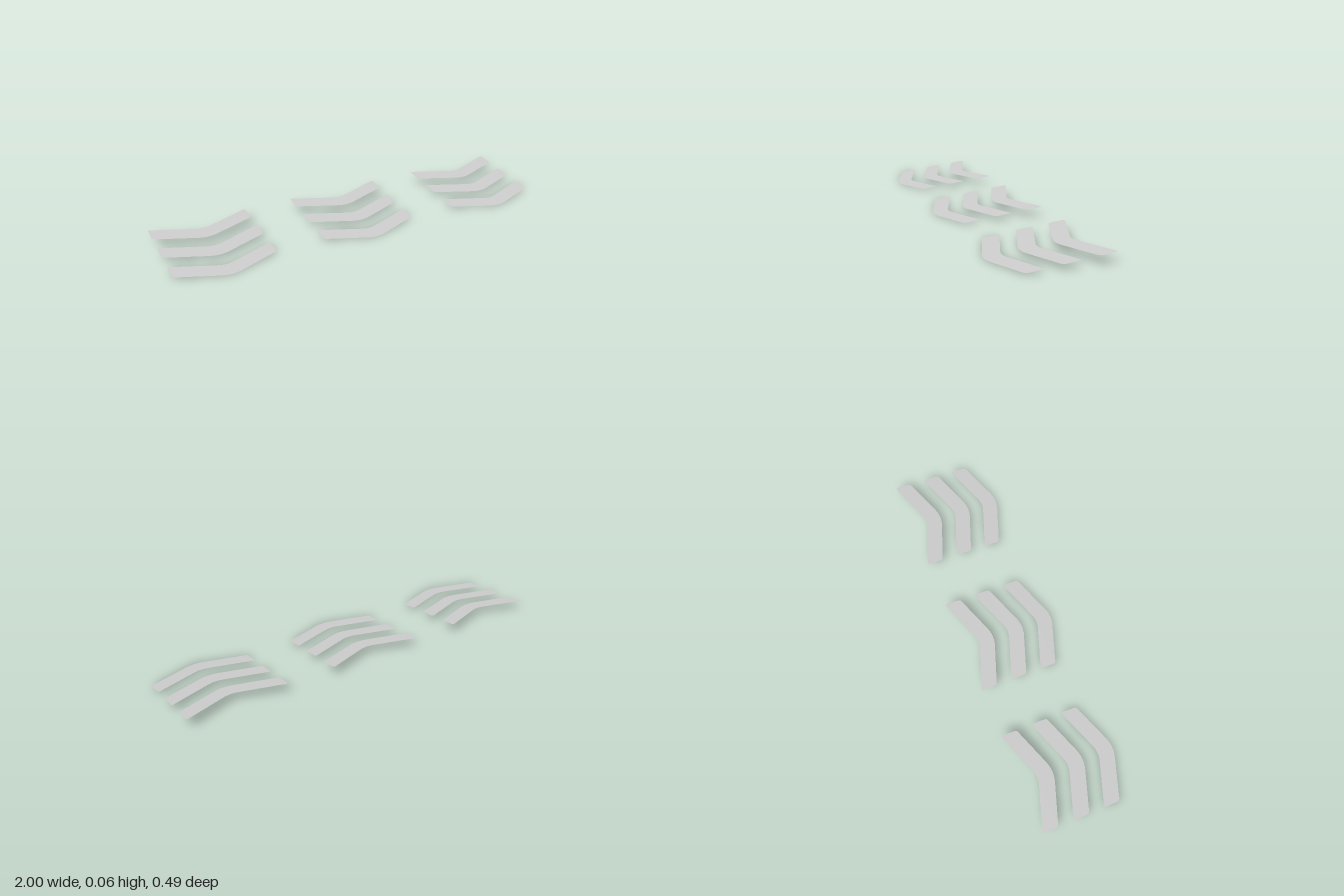
import * as THREE from 'three';

const SPACING_X = 0.75, SPACING_Z = 0.162;
const FRONT_Z = 0.242, SLOPE = 0.115; // the sheet rises towards the back

// Closed outline with each corner [x, z, cut] softened by a curve
function roundedOutline(corners) {
  const shape = new THREE.Shape();
  const pts = corners.map(([x, z]) => new THREE.Vector2(x, z));
  const n = pts.length;
  const towards = (a, b, d) => b.clone().sub(a).setLength(d).add(a);
  for (let i = 0; i < n; i++) {
    const p = pts[i], cut = corners[i][2];
    const a = towards(p, pts[(i + n - 1) % n], cut);
    const b = towards(p, pts[(i + 1) % n], cut);
    if (i === 0) shape.moveTo(a.x, a.y);
    else shape.lineTo(a.x, a.y);
    shape.quadraticCurveTo(p.x, p.y, b.x, b.y);
  }
  shape.closePath();
  return shape;
}

export function createModel() {
  const group = new THREE.Group();
  group.name = 'chevronStripes';
  const material = new THREE.MeshStandardMaterial({ color: 0xcccccc, side: THREE.DoubleSide });

  // Shape y runs to the back, so the rotated face points up
  const outline = roundedOutline([
    [0, -0.087, 0.055],
    [0.25, 0.004, 0.014],
    [0.25, 0.087, 0.014],
    [0, -0.004, 0.04],
    [-0.25, 0.087, 0.014],
    [-0.25, 0.004, 0.014],
  ]);
  const flat = new THREE.ShapeGeometry(outline, 8).rotateX(-Math.PI / 2);

  // Three columns of three chevrons, all lying on one sloping plane
  for (let col = -1; col <= 1; col++) {
    const column = new THREE.Group();
    column.name = ['rightColumn', 'middleColumn', 'leftColumn'][col + 1];
    for (let row = -1; row <= 1; row++) {
      const geometry = flat.clone().translate(col * SPACING_X, 0, row * SPACING_Z);
      const pos = geometry.attributes.position;
      for (let i = 0; i < pos.count; i++) pos.setY(i, (FRONT_Z - pos.getZ(i)) * SLOPE);
      geometry.computeVertexNormals();
      const chevron = new THREE.Mesh(geometry, material);
      chevron.name = ['backChevron', 'middleChevron', 'frontChevron'][row + 1];
      column.add(chevron);
    }
    group.add(column);
  }
  return group;
}
